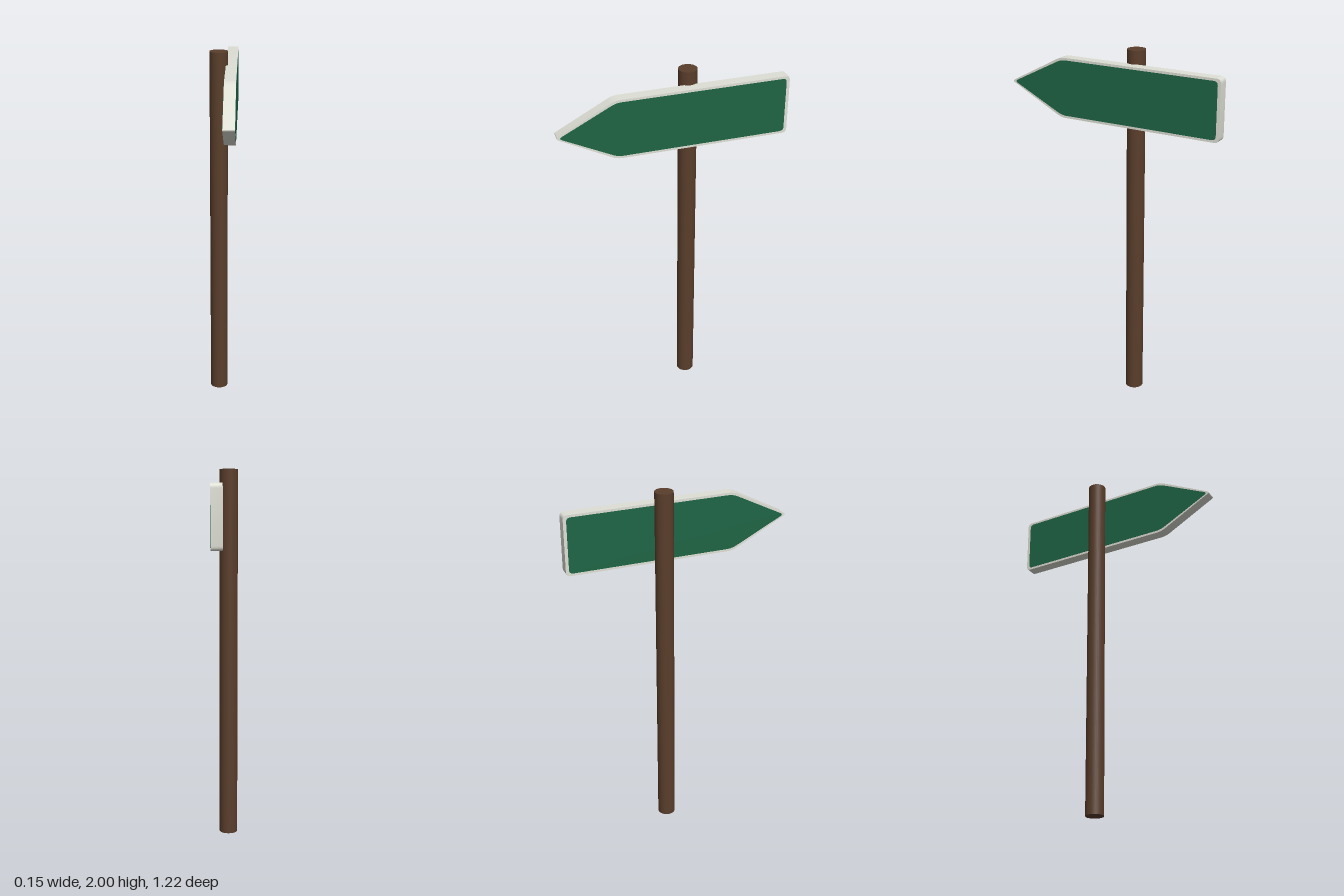
import * as THREE from 'three';
import { toCreasedNormals } from 'three/addons/utils/BufferGeometryUtils.js';

const MID_Y = 1.765;

// Arrow outline with rounded corners; shape x runs along world z
function arrowShape(back, shoulder, tip, halfHeight, radius) {
  const corners = [
    [back, -halfHeight, radius],
    [shoulder, -halfHeight, 0.03],
    [tip, 0, 0.02],
    [shoulder, halfHeight, 0.03],
    [back, halfHeight, radius],
  ].map(([x, y, r]) => ({ p: new THREE.Vector2(x, y), r }));
  const shape = new THREE.Shape();
  corners.forEach(({ p, r }, i) => {
    const prev = corners[(i + 4) % 5].p;
    const next = corners[(i + 1) % 5].p;
    const a = prev.clone().sub(p).setLength(r).add(p);
    const b = next.clone().sub(p).setLength(r).add(p);
    if (i === 0) shape.moveTo(a.x, a.y);
    else shape.lineTo(a.x, a.y);
    shape.quadraticCurveTo(p.x, p.y, b.x, b.y);
  });
  shape.closePath();
  return shape;
}

// Extrude an outline across x, from x0 to x1
function slab(name, shape, x0, x1, color) {
  let geometry = new THREE.ExtrudeGeometry(shape, {
    depth: x1 - x0, bevelEnabled: false, curveSegments: 6,
  });
  geometry.rotateY(-Math.PI / 2);
  geometry.translate(x1, MID_Y, 0);
  geometry = toCreasedNormals(geometry, 0.6);
  const mesh = new THREE.Mesh(geometry, new THREE.MeshStandardMaterial({ color }));
  mesh.name = name;
  return mesh;
}

export function createModel() {
  const model = new THREE.Group();
  model.name = 'arrowSignpost';

  // Round wooden post
  const post = new THREE.Mesh(
    new THREE.CylinderGeometry(0.049, 0.049, 2, 32),
    new THREE.MeshStandardMaterial({ color: 0x5a3e2b })
  );
  post.name = 'post';
  post.position.set(-0.025, 1, -0.093);
  model.add(post);

  // Pale arrow board, forming the border
  const x0 = 0.013, x1 = 0.073;
  model.add(slab('signBoard', arrowShape(-0.611, 0.31, 0.621, 0.164, 0.025), x0, x1, 0xdedfd5));

  // Green panels on both faces
  const panel = arrowShape(-0.594, 0.306, 0.604, 0.151, 0.022);
  model.add(slab('outerPanel', panel, x1 - 0.002, x1 + 0.001, 0x1e6545));
  model.add(slab('innerPanel', panel, x0 - 0.001, x0 + 0.002, 0x1e6545));

  return model;
}
